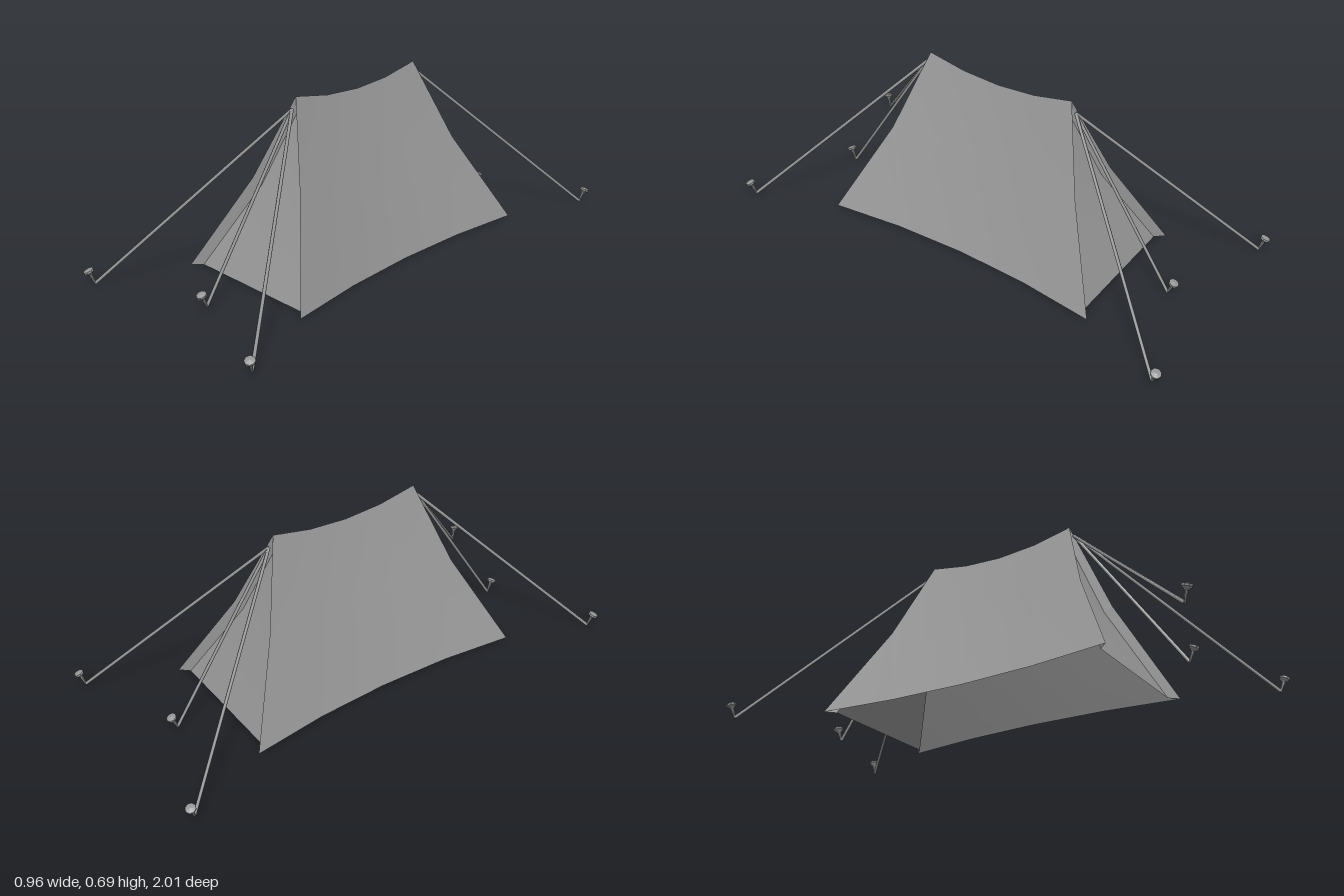
import * as THREE from 'three';

const grey = 0x969696;
const fabric = new THREE.MeshStandardMaterial({ color: grey, side: THREE.DoubleSide });
const ropeMat = new THREE.MeshStandardMaterial({ color: grey });
const pegMat = new THREE.MeshStandardMaterial({ color: grey, flatShading: true });

// Sheet of cloth from rows of points, each row having the same length
function sheet(name, rows) {
  const n = rows[0].length;
  const index = [];
  for (let r = 0; r < rows.length - 1; r++) {
    for (let i = 0; i < n - 1; i++) {
      const a = r * n + i, b = a + 1, c = a + n, d = c + 1;
      index.push(a, b, c, b, d, c);
    }
  }
  const geo = new THREE.BufferGeometry();
  geo.setAttribute('position', new THREE.Float32BufferAttribute(rows.flat(2), 3));
  geo.setIndex(index);
  geo.computeVertexNormals();
  const mesh = new THREE.Mesh(geo, fabric);
  mesh.name = name;
  return mesh;
}

// Place a mesh at origin with its y axis along direction
function aim(mesh, origin, direction) {
  mesh.position.copy(origin);
  mesh.quaternion.setFromUnitVectors(new THREE.Vector3(0, 1, 0), direction.clone().normalize());
  return mesh;
}

// Guy rope from the peak to the ground, with its leaning peg
function guyLine(x, z) {
  const g = new THREE.Group();
  g.name = 'guyLine';
  const top = new THREE.Vector3(0, 0.645, 0.35);
  const foot = new THREE.Vector3(x, 0.004, z);
  const span = foot.clone().sub(top);
  const rope = new THREE.Mesh(new THREE.CylinderGeometry(0.0065, 0.0065, span.length(), 6), ropeMat);
  rope.name = 'rope';
  g.add(aim(rope, top.clone().add(foot).multiplyScalar(0.5), span));

  const profile = [[0, 0], [0.004, 0], [0.007, 0.042], [0.01, 0.046], [0.02, 0.055], [0.02, 0.063], [0, 0.068]];
  const peg = new THREE.Mesh(new THREE.LatheGeometry(profile.map(p => new THREE.Vector2(...p)), 8), pegMat);
  peg.name = 'peg';
  const lean = new THREE.Vector3(x, 0, z - top.z).normalize().multiplyScalar(0.4).setY(1);
  g.add(aim(peg, new THREE.Vector3(x, 0, z), lean));
  return g;
}

// Half of the tent: one side wall and one end with its hems and ropes
function halfTent() {
  const half = new THREE.Group();
  half.name = 'tentHalf';

  // Side wall: sagging ridge, pinched middle and curved base, one row per height
  const steps = [-1, -0.5, 0, 0.5, 1];
  const row = (zEnd, xMid, xEnd, yMid, yEnd) => steps.map(t => [
    xMid + (xEnd - xMid) * t * t, yMid + (yEnd - yMid) * t * t, zEnd * t]);
  half.add(sheet('sideWall', [
    row(0.33, 0, 0, 0.648, 0.69),
    row(0.44, 0.115, 0.13, 0.335, 0.365),
    row(0.62, 0.26, 0.31, 0, 0),
  ]));

  // End wall, set back between the hems
  const inner = [[0.275, 0, 0.583], [0.107, 0.335, 0.415], [0, 0.635, 0.318]];
  const outer = [[0.31, 0, 0.62], [0.13, 0.365, 0.44], [0, 0.69, 0.33]];
  const flip = pts => pts.map(([x, y, z]) => [-x, y, z]);
  half.add(sheet('endWall', inner.map(([x, y, z]) => [[-x, y, z], [0, y, z], [x, y, z]])));

  // Hems folded from the side walls to the end wall
  half.add(sheet('hem', [inner, outer]));
  half.add(sheet('hem', [flip(outer), flip(inner)]));

  for (const [x, z] of [[-0.445, 0.965], [0, 0.79], [0.445, 0.965]]) half.add(guyLine(x, z));
  return half;
}

export function createModel() {
  const model = new THREE.Group();
  model.name = 'tent';
  for (const turn of [0, Math.PI]) {
    const half = halfTent();
    half.rotation.y = turn;
    model.add(half);
  }
  return model;
}
